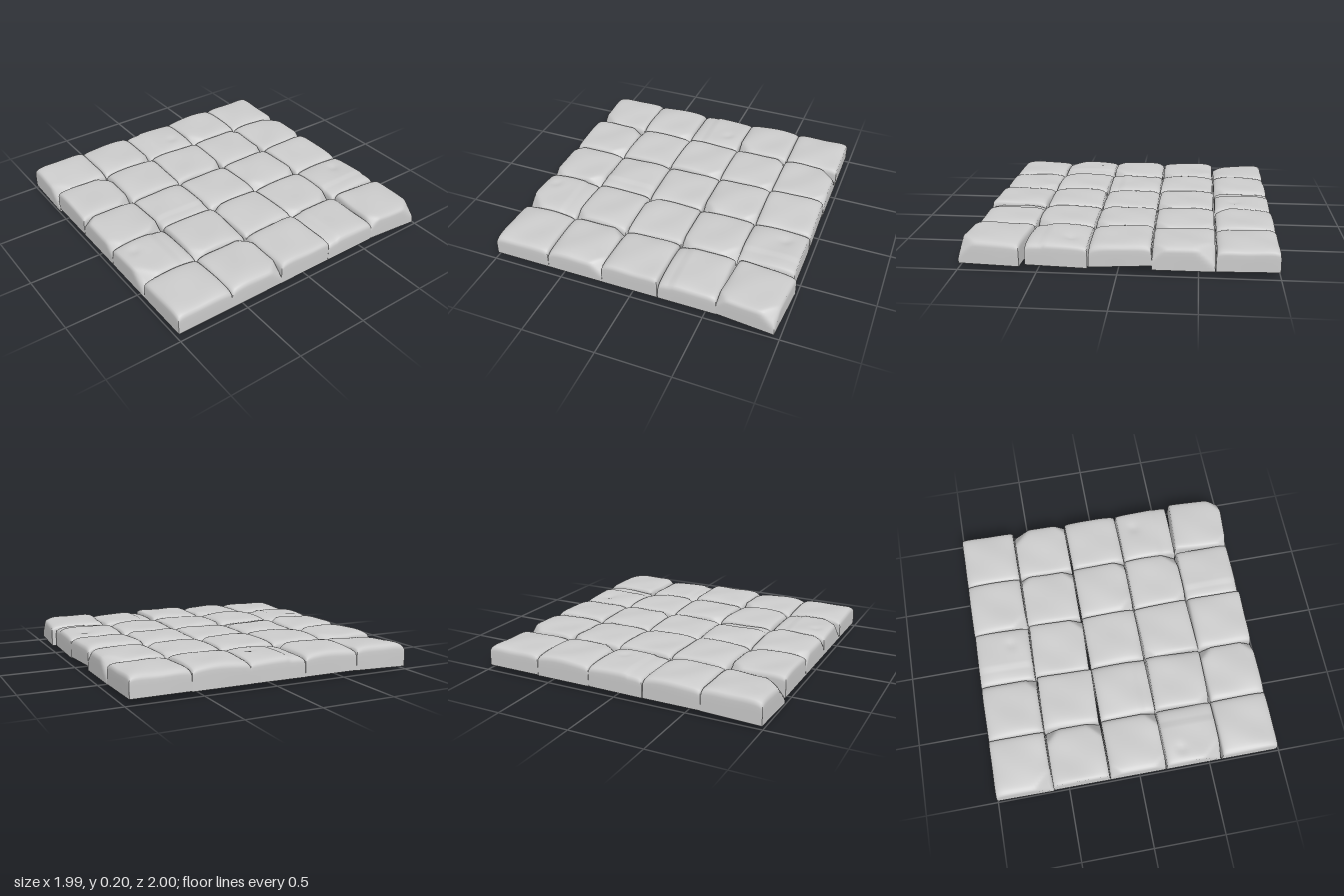
import * as THREE from 'three';
import { toCreasedNormals } from 'three/addons/utils/BufferGeometryUtils.js';

const HALF = 0.196, BASE = 0.034, SEG = 20;

// Per-stone character, keyed by column + row (row 0 at the back).
// chips: [xSign, zSign, size]; crack: [axis, local position, side that sinks]
const STONES = {
  '00': { tx: 0.03, tz: -0.05, dy: -0.018, top: 0.2, chips: [[-1, 1, 0.09]] },
  '10': { chips: [[1, 1, 0.06]] },
  '20': { yaw: -0.015, crack: ['x', -0.095, -1], dent: [0.08, 0.06] },
  '30': { chips: [[-1, 1, 0.07]] },
  '40': { tz: -0.02, top: 0.183 },
  '01': { chips: [[1, 1, 0.08], [1, -1, 0.07]] },
  '11': { yaw: -0.03, top: 0.19 },
  '21': { yaw: -0.035, chips: [[1, 1, 0.06]] },
  '31': { yaw: -0.01, chips: [[1, 1, 0.06], [1, -1, 0.04]] },
  '41': { dy: -0.006, chips: [[1, -1, 0.09], [1, 1, 0.05]] },
  '02': { chips: [[-1, -1, 0.05], [1, 1, 0.06], [-1, 1, 0.05]] },
  '12': { crack: ['z', 0.115, 1] },
  '32': { chips: [[-1, 1, 0.07], [1, 1, 0.05]] },
  '42': { tz: -0.05, dy: 0.01, yaw: 0.015, top: 0.18 },
  '03': { crack: ['x', 0.09, 1], dent: [-0.1, -0.08], chips: [[-1, 1, 0.1]] },
  '13': { yaw: -0.03, chips: [[-1, 1, 0.05]] },
  '23': { yaw: 0.025, chips: [[-1, -1, 0.05]] },
  '33': { chips: [[1, 1, 0.09], [-1, 1, 0.05]] },
  '43': { tz: 0.03, dy: -0.004, crack: ['z', 0.09, 1], dent: [0.06, -0.08] },
  '04': { top: 0.182 },
  '14': { top: 0.184, chips: [[1, 1, 0.07], [1, -1, 0.06]] },
  '24': { tx: 0.02, yaw: -0.015 },
  '34': { crack: ['x', -0.11, -1], top: 0.182 },
  '44': { yaw: -0.075, tx: -0.02, top: 0.19, chips: [[1, 1, 0.07], [-1, 1, 0.04]] },
};

function seeded(seed) {
  let s = seed;
  return () => (s = (s * 16807) % 2147483647) / 2147483647;
}

// Open-bottomed block with a worn, gently domed top
function stoneGeometry(spec, seed) {
  const rand = seeded(seed);
  for (let i = 0; i < 5; i++) rand();
  const { tx = 0, tz = 0, dy = 0, chips = [], crack, dent } = spec;
  const top = spec.top ?? 0.184 + rand() * 0.009;
  const p = [rand(), rand(), rand(), rand()].map(r => r * 6.28);
  const edge = [0, 0, 0, 0].map(() => 0.014 + rand() * 0.014);

  const box = new THREE.BoxGeometry(2, 1, 2, SEG, 6, SEG);
  const under = box.groups[3];
  const index = Array.from(box.index.array);
  index.splice(under.start, under.count);
  box.setIndex(index);
  box.clearGroups();

  const pos = box.attributes.position;
  const fall = a => 0.55 * a ** 4 + 0.45 * a ** 16;
  for (let i = 0; i < pos.count; i++) {
    // crowd the grid lines towards the rim so the shoulder rounds smoothly
    const u = Math.sin(pos.getX(i) * 1.2) / Math.sin(1.2);
    const v = Math.sin(pos.getZ(i) * 1.2) / Math.sin(1.2);
    const t = pos.getY(i) + 0.5;
    let x = u * HALF, z = v * HALF;

    // top surface: rounded rim, low bumps, sunken strip and dent
    let h = top
      - edge[u > 0 ? 0 : 1] * fall(Math.abs(u))
      - edge[v > 0 ? 2 : 3] * fall(Math.abs(v))
      + 0.004 * Math.sin(u * 2.3 + p[0]) * Math.sin(v * 2.1 + p[1])
      + 0.002 * Math.sin(u * 4 + v * 3 + p[2]);
    if (crack) {
      const d = ((crack[0] === 'x' ? x : z) - crack[1]) * crack[2];
      if (d > 0) h -= 0.008;
    }
    if (dent) h -= 0.012 * Math.exp(-((x - dent[0]) ** 2 + (z - dent[1]) ** 2) / 0.0014);
    let y = BASE + (h - BASE) * t;

    // walls stay upright and draw in only at the shoulder
    const lean = 1 - 0.016 * t ** 8 - 0.003 * (1 + Math.sin(u * 2 + v * 3 + p[3])) * t;
    x *= lean;
    z *= lean;

    // worn corners, eased back by a sloping plane
    for (const [sx, sz, size] of chips) {
      const over = sx * x + sz * z + y - 0.1 - (2 * HALF + 0.03 - size);
      if (over > 0) {
        const cut = (over * over) / (over + 0.03) / 3;
        x -= sx * cut;
        z -= sz * cut;
        y -= cut * t;
      }
    }
    pos.setXYZ(i, x, y + dy + tx * x + tz * z, z);
  }
  box.deleteAttribute('uv');
  return toCreasedNormals(box, 1.1);
}

export function createModel() {
  const floor = new THREE.Group();
  floor.name = 'stoneFloor';
  const material = new THREE.MeshStandardMaterial({ color: 0xcccccc, side: THREE.DoubleSide });
  for (let row = 0; row < 5; row++) {
    for (let col = 0; col < 5; col++) {
      const spec = STONES[`${col}${row}`] ?? {};
      const stone = new THREE.Mesh(stoneGeometry(spec, 977 + row * 5309 + col * 1213), material);
      stone.name = `pavingStone_row${row + 1}_column${col + 1}`;
      stone.position.set(-0.797 + col * 0.393, 0, -0.801 + row * 0.3945);
      // the front left corner stone has shifted outwards
      if (col === 4 && row === 4) stone.position.add(new THREE.Vector3(0.008, 0, 0.014));
      stone.rotation.y = spec.yaw ?? 0;
      floor.add(stone);
    }
  }
  return floor;
}
